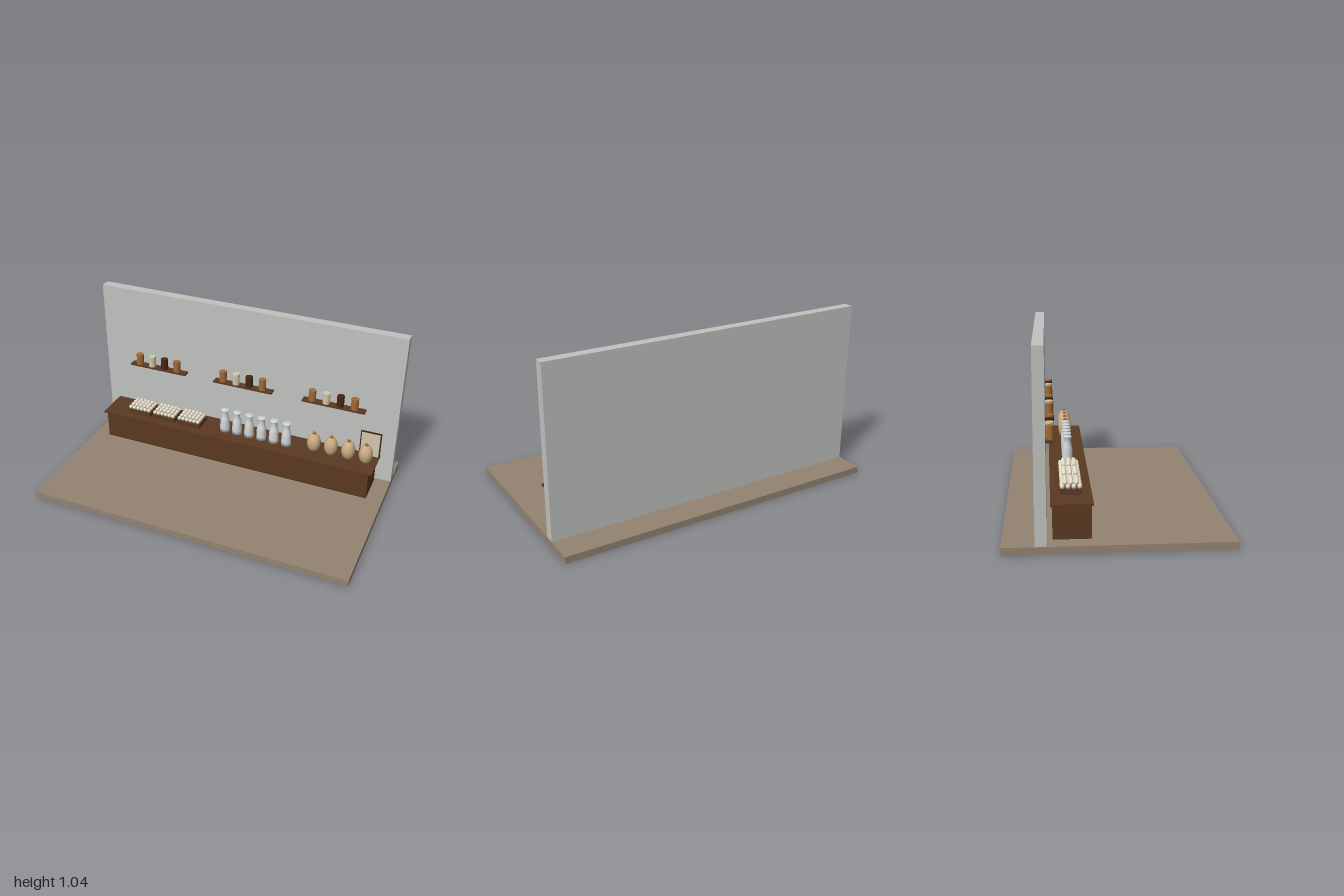
import * as THREE from 'three';

const mat = (name, color) => {
  const m = new THREE.MeshStandardMaterial({ color });
  m.name = name;
  return m;
};

export function createModel() {
  const model = new THREE.Group();
  model.name = 'shopCounter';

  const floorTan = mat('floorTan', 0x938372);
  const wallGrey = mat('wallGrey', 0xc0c3c0);
  const wood = mat('wood', 0x5b3921);
  const darkWood = mat('darkWood', 0x432712);
  const amber = mat('amber', 0xa06a38);
  const cream = mat('cream', 0xd0c6ac);
  const eggshell = mat('eggshell', 0xe2dac6);
  const milkGlass = mat('milkGlass', 0xd2d6d8);
  const gourdTan = mat('gourdTan', 0xc8aa80);

  const add = (name, geometry, material, x, y, z, parent = model) => {
    const mesh = new THREE.Mesh(geometry, material);
    mesh.name = name;
    mesh.position.set(x, y, z);
    parent.add(mesh);
    return mesh;
  };
  const box = (w, h, d) => new THREE.BoxGeometry(w, h, d);
  const group = (name, x, y, z) => {
    const g = new THREE.Group();
    g.name = name;
    g.position.set(x, y, z);
    model.add(g);
    return g;
  };

  // Room
  add('floor', box(2, 0.04, 1.2), floorTan, 0, 0.02, 0);
  add('backWall', box(2, 1, 0.06), wallGrey, 0, 0.54, -0.4);

  // Counter
  add('counterBody', box(1.8, 0.18, 0.2), wood, 0, 0.13, -0.24);
  add('counterTop', box(1.84, 0.01, 0.22), wood, 0, 0.225, -0.24);

  // Egg trays, each with two staggered layers of eggs
  const egg = new THREE.SphereGeometry(0.0135, 10, 8);
  for (const x of [-0.68, -0.5, -0.32]) {
    const tray = group('eggTray', x, 0.23, -0.24);
    add('tray', box(0.16, 0.03, 0.12), wood, 0, 0.015, 0, tray);
    for (const [cols, rows, y] of [[6, 4, 0.042], [5, 3, 0.059]]) {
      for (let i = 0; i < cols; i++) {
        for (let j = 0; j < rows; j++) {
          add('egg', egg, eggshell, (i - (cols - 1) / 2) * 0.0265, y, (j - (rows - 1) / 2) * 0.0305, tray);
        }
      }
    }
  }

  // Row of bottles
  const bottleProfile = [
    [0, 0], [0.032, 0], [0.032, 0.025], [0.03, 0.07], [0.027, 0.09], [0.02, 0.115],
    [0.019, 0.143], [0.025, 0.147], [0.025, 0.157], [0, 0.157],
  ].map(([r, y]) => new THREE.Vector2(r, y));
  const bottle = new THREE.LatheGeometry(bottleProfile, 16);
  for (let i = 0; i < 6; i++) add('bottle', bottle, milkGlass, -0.081 + i * 0.084, 0.23, -0.24);

  // Row of gourds with short stems
  const gourd = new THREE.SphereGeometry(0.043, 18, 14).scale(1, 1.5, 1);
  const stem = new THREE.CylinderGeometry(0.01, 0.013, 0.02, 10);
  for (let i = 0; i < 4; i++) {
    const g = group('gourd', 0.52 + i * 0.11, 0.23, -0.24);
    add('gourdBody', gourd, gourdTan, 0, 0.0645, 0, g);
    add('gourdStem', stem, amber, 0, 0.127, 0, g);
  }

  // Wall shelves with jars
  const jar = new THREE.CylinderGeometry(0.0235, 0.0235, 0.073, 12);
  for (const x of [-0.6, 0, 0.6]) {
    const shelf = group('wallShelf', x, 0.522, -0.345);
    add('shelfBoard', box(0.4, 0.01, 0.05), wood, 0, 0, 0, shelf);
    [amber, cream, darkWood, amber].forEach((m, i) => {
      add('jar', jar, m, -0.14 + i * 0.09, 0.0405, -0.001, shelf);
    });
  }

  // Framed board at the end of the counter
  add('boardFrame', box(0.13, 0.176, 0.009), darkWood, 0.857, 0.32, -0.316);
  add('boardPanel', box(0.116, 0.162, 0.003), cream, 0.857, 0.32, -0.311);

  return model;
}
